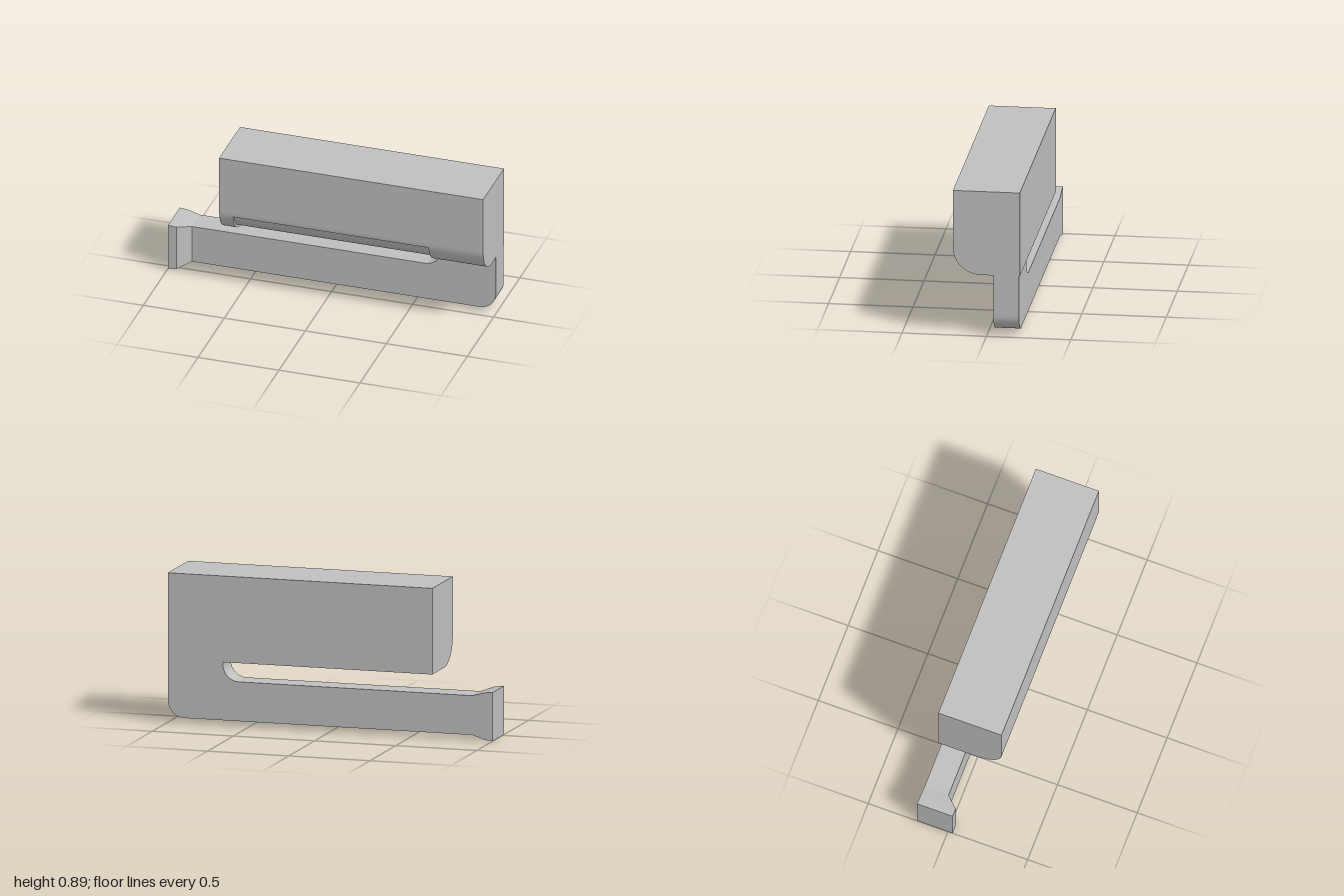
import * as THREE from 'three';
import { toCreasedNormals } from 'three/addons/utils/BufferGeometryUtils.js';

export function createModel() {
  const group = new THREE.Group();
  const grey = new THREE.MeshStandardMaterial({ color: 0xbfbfbf });
  grey.name = 'light grey';

  function add(parent, name, geometry) {
    const mesh = new THREE.Mesh(toCreasedNormals(geometry, 0.5), grey);
    mesh.name = name;
    parent.add(mesh);
    return mesh;
  }

  // Housing: block with a rounded lower front edge, drawn as (-z, y)
  const half = 0.198, top = 0.893, bottom = 0.378, radius = 0.163, depth = 0.016;
  const cx = -half + radius, cy = bottom + radius;
  function housingShape(recessed) {
    const s = new THREE.Shape();
    s.moveTo(half, top);
    s.lineTo(-half, top);
    s.lineTo(-half, cy);
    if (recessed) {
      const lip = Math.PI + 0.19;
      s.absarc(cx, cy, radius, Math.PI, lip, false);
      s.absarc(cx, cy, radius - depth, lip, Math.PI * 1.5, false);
      s.lineTo(cx, bottom);
    } else {
      s.absarc(cx, cy, radius, Math.PI, Math.PI * 1.5, false);
    }
    s.lineTo(half, bottom);
    s.closePath();
    return s;
  }

  // Full ends with a shallow recess along the curve between them
  const housing = new THREE.Group();
  housing.name = 'housing';
  group.add(housing);
  const sections = [
    ['housingEndRight', -0.63, -0.545, false],
    ['housingRecess', -0.545, 0.662, true],
    ['housingEndLeft', 0.662, 1, false],
  ];
  for (const [name, x0, x1, recessed] of sections) {
    const g = new THREE.ExtrudeGeometry(housingShape(recessed), {
      depth: x1 - x0, bevelEnabled: false, curveSegments: 20,
    });
    g.rotateY(Math.PI / 2);
    g.translate(x0, 0, 0);
    add(housing, name, g);
  }

  // Arm: post under the housing that turns into a long bar
  const back = -0.193, front = -0.042, low = 0.03, high = 0.265, neck = -0.875;
  const a = new THREE.Shape();
  a.moveTo(neck, low);
  a.lineTo(0.9, low);
  a.absarc(0.9, low + 0.1, 0.1, -Math.PI / 2, 0, false);
  a.lineTo(1, bottom);
  a.lineTo(0.662, bottom);
  a.absarc(0.562, high + 0.1, 0.1, 0, -Math.PI / 2, true);
  a.lineTo(neck, high);
  a.closePath();
  const armGeometry = new THREE.ExtrudeGeometry(a, {
    depth: front - back, bevelEnabled: false, curveSegments: 16,
  });
  armGeometry.translate(0, 0, back);
  add(group, 'arm', armGeometry);

  // Flared tip: box whose cross-sections widen towards the end
  const stations = [
    { x: -1, y0: 0, y1: 0.291, z: 0.03 },
    { x: -0.948, y0: 0.005, y1: 0.286, z: 0.03 },
    { x: neck, y0: low, y1: high, z: front },
  ];
  const tip = new THREE.BoxGeometry(2, 1, 1, 2, 1, 1);
  const p = tip.attributes.position;
  for (let i = 0; i < p.count; i++) {
    const s = stations[Math.round(p.getX(i)) + 1];
    p.setXYZ(i, s.x, p.getY(i) > 0 ? s.y1 : s.y0, p.getZ(i) > 0 ? s.z : back);
  }
  add(group, 'flaredTip', tip);

  return group;
}
